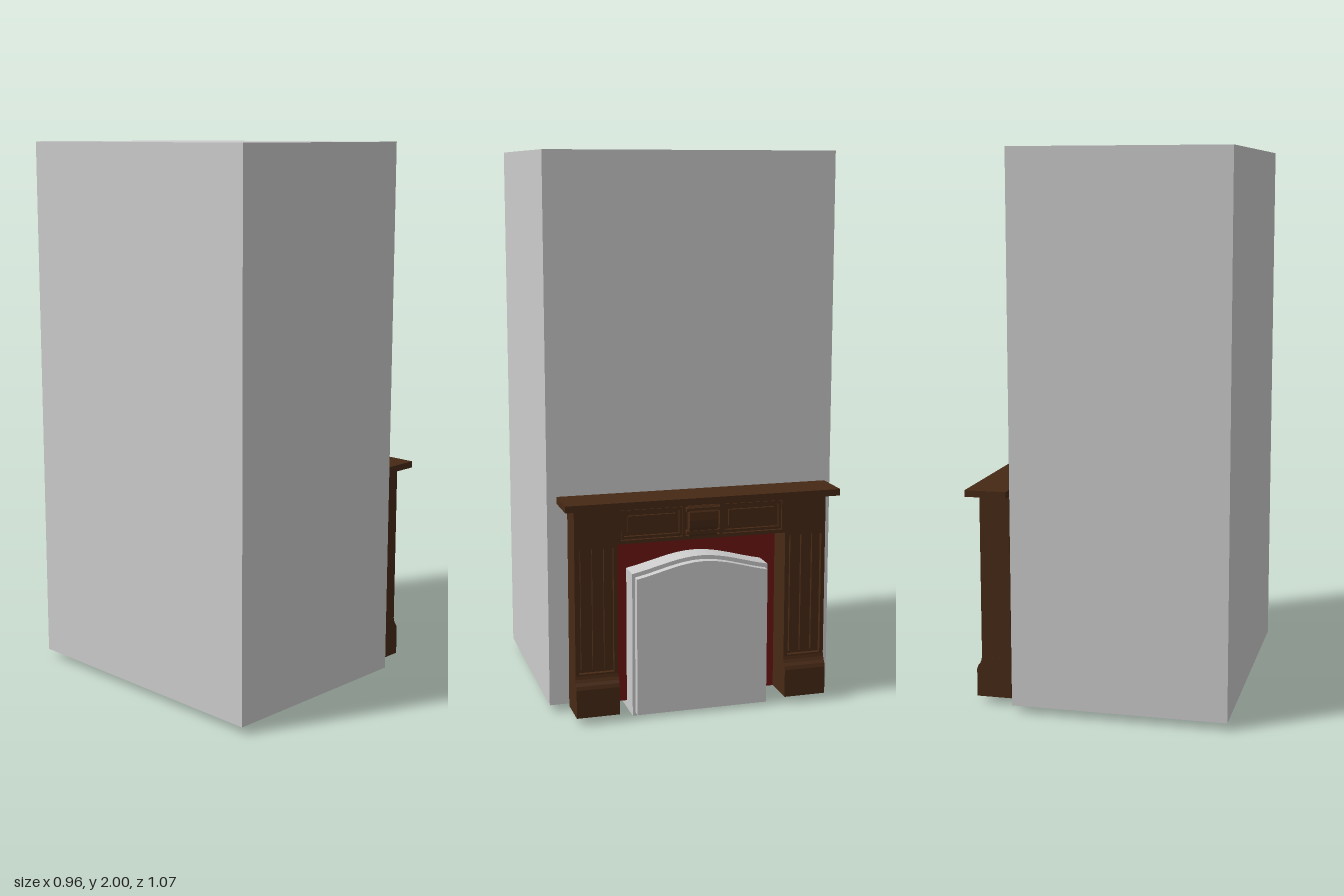
import * as THREE from 'three';

const grey = new THREE.MeshStandardMaterial({ color: 0xcccccc, flatShading: true });
const wood = new THREE.MeshStandardMaterial({ color: 0x472915, flatShading: true });
const red = new THREE.MeshStandardMaterial({ color: 0x6b1512, flatShading: true });

// Mesh helper
function add(parent, name, geometry, material) {
  const mesh = new THREE.Mesh(geometry, material);
  mesh.name = name;
  parent.add(mesh);
  return mesh;
}

// Box given by its limits on each axis
function box(parent, name, material, x0, x1, y0, y1, z0, z1) {
  const g = new THREE.BoxGeometry(x1 - x0, y1 - y0, z1 - z0);
  g.translate((x0 + x1) / 2, (y0 + y1) / 2, (z0 + z1) / 2);
  return add(parent, name, g, material);
}

// Rectangular frame facing +x
function frame(parent, name, x0, x1, y0, y1, z0, z1, w) {
  box(parent, name + 'Bottom', wood, x0, x1, y0, y0 + w, z0, z1);
  box(parent, name + 'Top', wood, x0, x1, y1 - w, y1, z0, z1);
  box(parent, name + 'SideA', wood, x0, x1, y0 + w, y1 - w, z0, z0 + w);
  box(parent, name + 'SideB', wood, x0, x1, y0 + w, y1 - w, z1 - w, z1);
}

// Side profile of [x, y] points, extruded along z
function profile(parent, name, points, z0, z1) {
  const shape = new THREE.Shape(points.map(([x, y]) => new THREE.Vector2(x, y)));
  const g = new THREE.ExtrudeGeometry(shape, { depth: z1 - z0, bevelEnabled: false });
  g.translate(0, 0, z0);
  return add(parent, name, g, wood);
}

// Upright slab with a shallow arched top, extruded along x
function arch(parent, name, half, bottom, spring, crown, x0, x1) {
  const shape = new THREE.Shape();
  shape.moveTo(-half, bottom);
  shape.lineTo(half, bottom);
  shape.lineTo(half, spring);
  const rise = crown - spring;
  for (let i = 1; i <= 16; i++) {
    const t = 1 - i / 8;
    shape.lineTo(half * t, spring + rise * (0.5 + 0.5 * Math.cos(Math.PI * t) + 1 - t * t) / 2);
  }
  const g = new THREE.ExtrudeGeometry(shape, { depth: x1 - x0, bevelEnabled: false });
  g.rotateY(Math.PI / 2);
  g.translate(x0, 0, 0);
  return add(parent, name, g, grey);
}

// One fluted pilaster on its plinth, from z = 0.31 to 0.465
function pilaster(name) {
  const p = new THREE.Group();
  p.name = name;
  const z0 = 0.311, z1 = 0.465;
  box(p, 'shaft', wood, 0.323, 0.418, 0.03, 0.78, z0, z1);
  box(p, 'capital', wood, 0.418, 0.434, 0.648, 0.78, z0, z1);
  frame(p, 'shaftFrame', 0.418, 0.434, 0.17, 0.648, z0, z1, 0.014);
  for (let i = 0; i < 3; i++) {
    const c = z0 + 0.077 + (i - 1) * 0.042;
    box(p, 'reed', wood, 0.418, 0.43, 0.195, 0.635, c - 0.013, c + 0.013);
  }
  profile(p, 'plinth', [
    [0.323, 0.03], [0.453, 0.03], [0.453, 0.132], [0.449, 0.145],
    [0.441, 0.155], [0.436, 0.166], [0.434, 0.178], [0.323, 0.178],
  ], z0 - 0.001, z1 + 0.001);
  return p;
}

export function createModel() {
  const root = new THREE.Group();
  root.name = 'fireplace';

  // Chimney breast and red surround
  box(root, 'chimneyBreast', grey, -0.48, 0.3, 0.03, 2, -0.533, 0.533);
  box(root, 'surround', red, 0.3, 0.326, 0.03, 0.645, -0.31, 0.31);

  // Arched firebox insert with stepped front
  arch(root, 'firebox', 0.253, 0.003, 0.528, 0.578, -0.03, 0.412);
  arch(root, 'fireboxFront', 0.243, 0.015, 0.515, 0.564, 0.412, 0.441);

  // Wooden mantel
  const mantel = new THREE.Group();
  mantel.name = 'mantel';
  root.add(mantel);
  box(mantel, 'shelf', wood, 0.323, 0.476, 0.779, 0.803, -0.503, 0.503);

  // Pilasters, mirrored by turning the mesh geometry across z
  mantel.add(pilaster('pilasterLeft'));
  const other = pilaster('pilasterRight');
  other.position.z = -0.776;
  mantel.add(other);

  // Frieze with a recessed panel on each side
  box(mantel, 'frieze', wood, 0.323, 0.418, 0.645, 0.779, -0.311, 0.311);
  frame(mantel, 'friezeFrame', 0.418, 0.434, 0.645, 0.779, -0.311, 0.311, 0.013);
  for (const s of [-1, 1]) {
    const c = s * 0.185;
    frame(mantel, 'friezePanelFrame', 0.418, 0.43, 0.66, 0.764, c - 0.111, c + 0.111, 0.01);
    box(mantel, 'friezePanel', wood, 0.418, 0.428, 0.685, 0.742, c - 0.086, c + 0.086);
    box(mantel, 'friezeStile', wood, 0.418, 0.434, 0.658, 0.766, s * 0.069 - 0.006, s * 0.069 + 0.006);
  }

  // Carved centre block
  profile(mantel, 'centreBlock', [
    [0.418, 0.655], [0.437, 0.655], [0.441, 0.675], [0.448, 0.69],
    [0.45, 0.715], [0.449, 0.745], [0.443, 0.757], [0.438, 0.768], [0.418, 0.768],
  ], -0.052, 0.052);
  for (const y of [0.672, 0.754]) {
    box(mantel, 'centreMoulding', wood, 0.418, 0.446, y - 0.006, y + 0.006, -0.062, 0.062);
  }
  return root;
}
